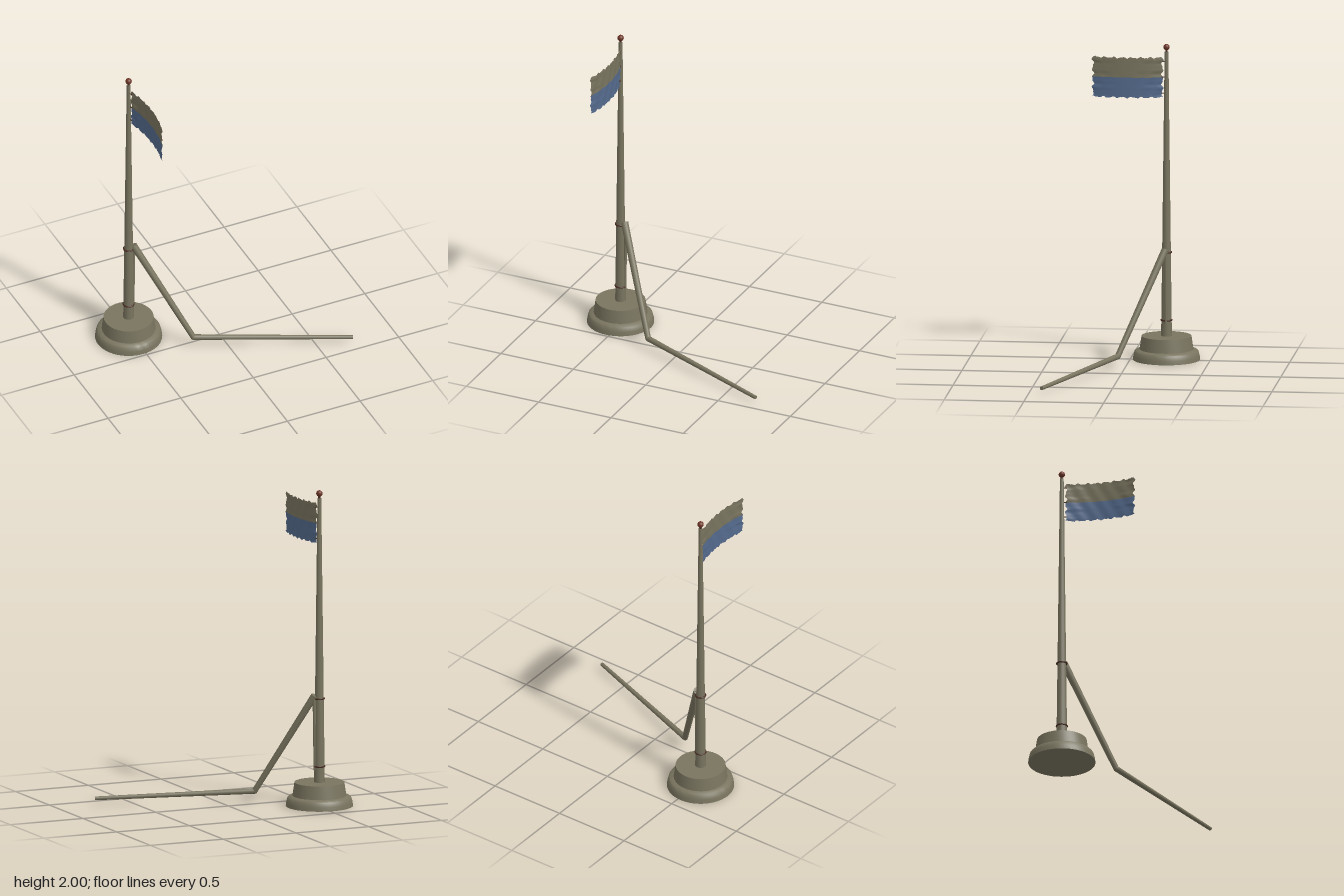
import * as THREE from 'three';
import { toCreasedNormals } from 'three/addons/utils/BufferGeometryUtils.js';

const V = (x, y, z) => new THREE.Vector3(x, y, z);
const CX = -0.52, CZ = -0.225; // pole axis

export function createModel() {
  const root = new THREE.Group();
  const mat = (name, color, side = THREE.FrontSide) => {
    const m = new THREE.MeshStandardMaterial({ color, side });
    m.name = name;
    return m;
  };
  const drab = mat('drab olive', 0x79745f);
  const clothTop = mat('olive cloth', 0x79745f, THREE.DoubleSide);
  const clothBottom = mat('blue cloth', 0x546a8c, THREE.DoubleSide);
  const rust = mat('rust red', 0x6e3526);
  const dark = mat('dark band', 0x47291f);

  const add = (name, geometry, material, x = 0, y = 0, z = 0) => {
    const m = new THREE.Mesh(geometry, material);
    m.name = name;
    m.position.set(x, y, z);
    root.add(m);
    return m;
  };
  // tapered round bar between two points
  const bar = (name, a, b, ra, rb, material) => {
    const d = b.clone().sub(a);
    const m = add(name, new THREE.CylinderGeometry(rb, ra, d.length(), 16), material);
    m.position.copy(a).addScaledVector(d, 0.5);
    m.quaternion.setFromUnitVectors(V(0, 1, 0), d.normalize());
    return m;
  };

  // stepped round base
  const profile = [[0, 0], [0.21, 0], [0.207, 0.025], [0.2, 0.052], [0.192, 0.06], [0.168, 0.066], [0.156, 0.15], [0, 0.15]]
    .map(([r, y]) => new THREE.Vector2(r, y));
  add('base', toCreasedNormals(new THREE.LatheGeometry(profile, 48), 0.6), drab, CX, 0, CZ);

  // mast with ball and bands
  bar('mast', V(CX, 0.14, CZ), V(CX, 1.95, CZ), 0.034, 0.012, drab);
  bar('finialStem', V(CX, 1.94, CZ), V(CX, 1.97, CZ), 0.007, 0.007, dark);
  add('finialBall', new THREE.SphereGeometry(0.02, 20, 14), rust, CX, 1.98, CZ);
  for (const [y, r] of [[0.25, 0.033], [0.68, 0.031]]) {
    const ring = add('mastBand', new THREE.TorusGeometry(r, 0.005, 8, 28), dark, CX, y, CZ);
    ring.rotation.x = Math.PI / 2;
  }
  bar('mastRod', V(-0.489, 0.23, CZ), V(-0.484, 0.7, CZ), 0.008, 0.01, drab);

  // bent arm reaching to the ground
  const hinge = V(-0.49, 0.7, -0.22), elbow = V(-0.2, 0.072, 0.045), tip = V(0.722, 0.034, 0.42);
  bar('armUpper', hinge, elbow, 0.023, 0.018, drab);
  bar('armLower', elbow, tip, 0.018, 0.012, drab);
  add('armElbow', new THREE.SphereGeometry(0.018, 16, 12), drab, elbow.x, elbow.y, elbow.z);

  // two-stripe flag, bowed sideways with ragged edges
  const ragged = t => 0.006 * Math.sin(t * 47) + 0.004 * Math.sin(t * 83 + 1);
  const stripe = (name, y0, y1, edge, material) => {
    const g = new THREE.PlaneGeometry(1, 1, 40, 14);
    const p = g.attributes.position;
    for (let i = 0; i < p.count; i++) {
      const u = p.getX(i) + 0.5, v = p.getY(i) + 0.5;
      const outer = edge > 0 ? v : 1 - v; // grows towards the torn edge
      let y = y0 + (y1 - y0) * v;
      const z = -0.2 + 0.435 * u + ragged(y * 2.2) * (2 * u - 1);
      y += ragged(u) * 0.7 * Math.pow(outer, 4);
      const x = -0.512 + 0.007 * u + 0.112 * u * (1 - u) + 0.0015 * Math.sin(u * 30 + y * 40);
      p.setXYZ(i, x, y, z);
    }
    g.computeVertexNormals();
    add(name, g, material);
  };
  stripe('flagTopStripe', 1.788, 1.914, 1, clothTop);
  stripe('flagBottomStripe', 1.662, 1.788, -1, clothBottom);

  // ties holding the flag to the mast
  for (const y of [1.69, 1.79, 1.89]) {
    bar('flagTie', V(CX, y, CZ), V(-0.51, y, -0.195), 0.003, 0.003, dark);
  }
  return root;
}
